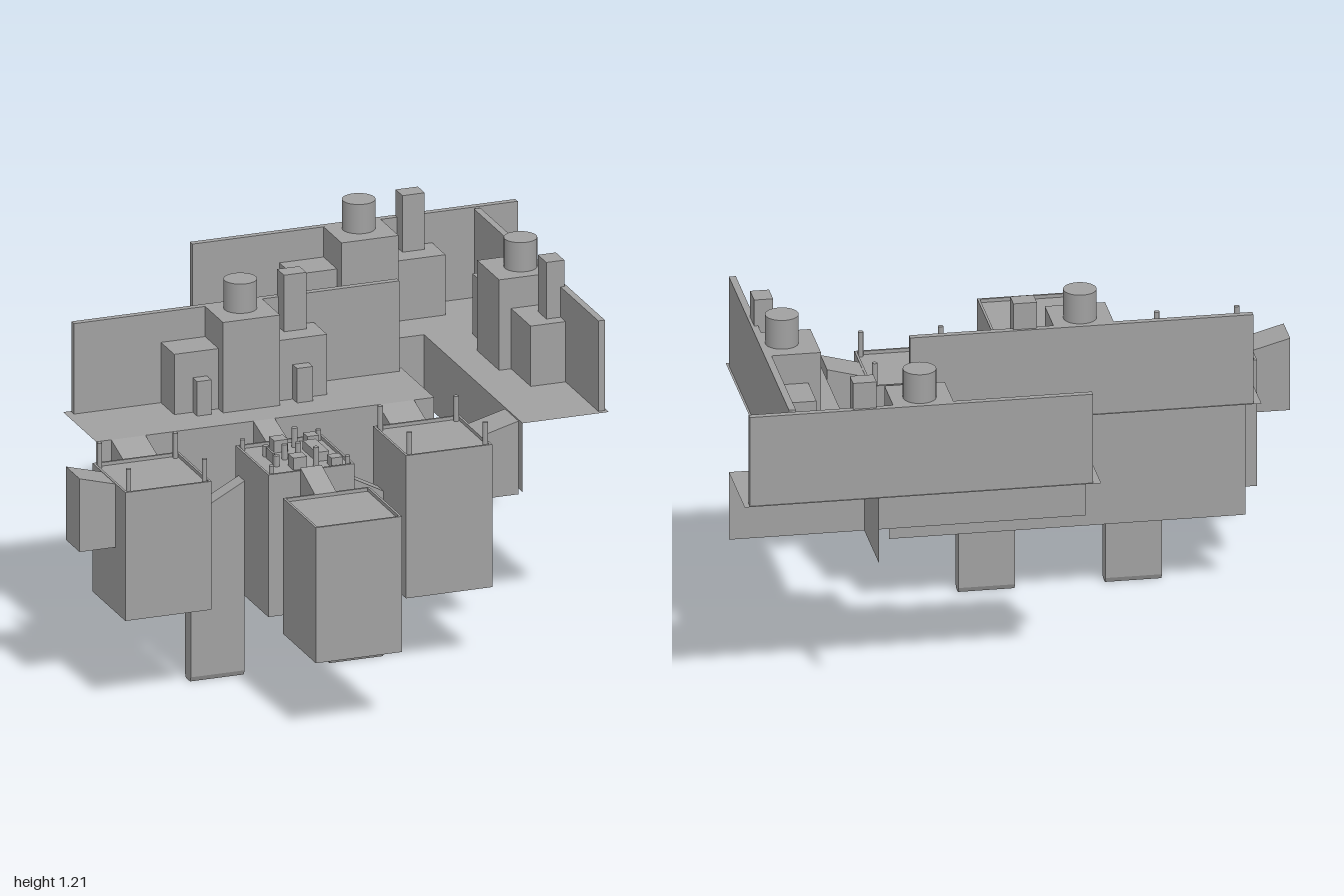
import * as THREE from 'three';

const GREY = 0xa0a0a0;
const mat = new THREE.MeshStandardMaterial({ color: GREY, flatShading: true, side: THREE.DoubleSide });
const round = new THREE.MeshStandardMaterial({ color: GREY, side: THREE.DoubleSide });

function add(parent, name, geometry, material = mat) {
  const mesh = new THREE.Mesh(geometry, material);
  mesh.name = name;
  parent.add(mesh);
  return mesh;
}

// Box given by its limits on each axis
function box(parent, name, x0, x1, y0, y1, z0, z1) {
  const m = add(parent, name, new THREE.BoxGeometry(x1 - x0, y1 - y0, z1 - z0));
  m.position.set((x0 + x1) / 2, (y0 + y1) / 2, (z0 + z1) / 2);
  return m;
}

function post(parent, name, x, z, r, y0, y1, sides = 12) {
  const m = add(parent, name, new THREE.CylinderGeometry(r, r, y1 - y0, sides), round);
  m.position.set(x, (y0 + y1) / 2, z);
}

// Flat-sided slab: outline in (u, y), centred on c, with u along x or z
function slab(parent, name, axis, outline, c, width) {
  const shape = new THREE.Shape(outline.map(([u, y]) => new THREE.Vector2(u, y)));
  const g = new THREE.ExtrudeGeometry(shape, { depth: width, bevelEnabled: false });
  g.translate(0, 0, -width / 2);
  if (axis === 'z') g.rotateY(-Math.PI / 2);
  const m = add(parent, name, g);
  if (axis === 'z') m.position.x = c; else m.position.z = c;
}

// Chute with a sloping top from (u0, y0) to (u1, y1)
function chute(parent, name, axis, u0, y0, u1, y1, bottom, c, width) {
  slab(parent, name, axis, [[u0, bottom], [u1, bottom], [u1, y1], [u0, y0]], c, width);
}

// Bench: thin top, hanging front panel, back wall and the machines on it
function bench(name, skirtBottom, extras) {
  const g = new THREE.Group();
  g.name = name;
  const top = add(g, 'benchTop', new THREE.PlaneGeometry(1.184, 0.302).rotateX(-Math.PI / 2));
  top.position.set(-0.224, 0.8, -0.151);
  const panel = add(g, 'frontPanel', new THREE.PlaneGeometry(1.184, 0.8 - skirtBottom));
  panel.position.set(-0.224, (0.8 + skirtBottom) / 2, 0);
  box(g, 'backWall', -0.79, 0.35, 0.8, 1.115, -0.295, -0.272);
  box(g, 'mainMachine', -0.33, -0.13, 0.8, 1.115, -0.272, -0.108);
  post(g, 'machineDrum', -0.227, -0.22, 0.055, 1.115, 1.217, 32);
  box(g, 'leftMachine', -0.485, -0.33, 0.8, 1.01, -0.272, -0.15);
  box(g, 'rightMachine', -0.13, 0.05, 0.8, 1.01, -0.272, -0.15);
  box(g, 'chimney', -0.073, 0.005, 0.8, 1.207, -0.285, -0.222);
  if (extras) {
    box(g, 'leftStep', -0.42, -0.37, 0.8, 0.92, -0.15, -0.11);
    box(g, 'rightStep', -0.07, -0.015, 0.8, 0.92, -0.15, -0.11);
  }
  return g;
}

// Bin with a raised rim and optional corner pins
function bin(parent, name, x0, z0, y0, y1, pinTop) {
  const g = new THREE.Group(), s = 0.302, t = 0.008;
  g.name = name;
  box(g, 'body', x0, x0 + s, y0, y1 - 0.012, z0, z0 + s);
  for (const d of [0, s - t]) {
    box(g, 'rim', x0 + d, x0 + d + t, y1 - 0.012, y1, z0, z0 + s);
    box(g, 'rim', x0 + t, x0 + s - t, y1 - 0.012, y1, z0 + d, z0 + d + t);
  }
  if (pinTop) {
    for (const dx of [0.018, s - 0.018])
      for (const dz of [0.018, s - 0.018])
        post(g, 'cornerPin', x0 + dx, z0 + dz, 0.009, y1 - 0.02, pinTop);
  }
  parent.add(g);
}

export function createModel() {
  const root = new THREE.Group();
  root.name = 'workshop';

  // Three benches of one design
  const middle = bench('middleBench', 0.28, true);
  const back = bench('backBench', 0.56, false);
  back.position.set(0.632, 0, -0.568);
  const side = bench('sideBench', 0.56, false);
  side.rotation.y = -Math.PI / 2;
  side.position.set(0.55, 0, -0.034);
  root.add(middle, back, side);

  // Bins
  bin(root, 'rightBin', -0.875, 0.12, 0.328, 0.775, 0.85);
  bin(root, 'leftBin', 0.108, 0.12, 0.278, 0.775, 0.85);
  bin(root, 'centreBin', -0.378, 0.13, 0.28, 0.775, 0.8);
  bin(root, 'frontBin', -0.378, 0.565, 0.268, 0.74, 0);

  // Chutes from the bench to the bins
  chute(root, 'rightBenchChute', 'z', 0, 0.8, 0.12, 0.765, 0.39, -0.703, 0.12);
  chute(root, 'centreBenchChute', 'z', 0, 0.8, 0.13, 0.765, 0.53, -0.228, 0.075);
  chute(root, 'leftBenchChute', 'z', 0, 0.8, 0.12, 0.765, 0.34, 0.235, 0.125);
  chute(root, 'frontChute', 'z', 0.43, 0.785, 0.565, 0.737, 0.525, -0.228, 0.075);
  // Outer chutes rise away from the bins
  chute(root, 'rightOuterChute', 'x', -1, 0.808, -0.873, 0.773, 0.553, 0.267, 0.125);
  chute(root, 'leftOuterChute', 'x', 0.408, 0.773, 0.538, 0.808, 0.553, 0.267, 0.125);

  // Legs between the bins, with sloping tops and tapered feet
  for (const s of [-1, 1]) {
    const xi = -0.228 + s * 0.15, xo = -0.228 + s * 0.338;
    slab(root, 'leg', 'x', [[xo, 0.02], [xi, 0.02], [xi, 0.68], [xo, 0.58]], 0.187, 0.055);
    const foot = box(root, 'foot', Math.min(xi, xo), Math.max(xi, xo), 0.003, 0.02, 0.1595, 0.2145);
    const p = foot.geometry.attributes.position;
    for (let i = 0; i < p.count; i++) if (p.getY(i) < 0) p.setZ(i, p.getZ(i) * 0.7);
  }

  // Small tray on a stem, behind the left leg
  chute(root, 'trayStem', 'z', 0, 0.6, 0.05, 0.57, 0.42, 0.012, 0.055);
  box(root, 'tray', -0.035, 0.06, 0.34, 0.57, 0.05, 0.14);

  // Fittings on top of the centre bin
  const top = 0.76;
  for (const [x, z, w, h] of [[-0.25, 0.19, 0.048, 0.045], [-0.128, 0.168, 0.04, 0.035],
    [-0.25, 0.365, 0.048, 0.045], [-0.128, 0.388, 0.04, 0.035]])
    box(root, 'controlBlock', x - w / 2, x + w / 2, top, top + h, z - w / 2, z + w / 2);
  box(root, 'controlPlate', -0.175, -0.13, top, 0.795, 0.215, 0.34);
  box(root, 'lever', -0.315, -0.308, top, 0.8, 0.245, 0.31);
  for (const [x, z, y] of [[-0.31, 0.23, 0.8], [-0.31, 0.33, 0.8], [-0.262, 0.278, 0.815],
    [-0.215, 0.278, 0.815], [-0.19, 0.18, 0.83], [-0.19, 0.377, 0.83]])
    post(root, 'knob', x, z, 0.01, top, y);

  return root;
}
